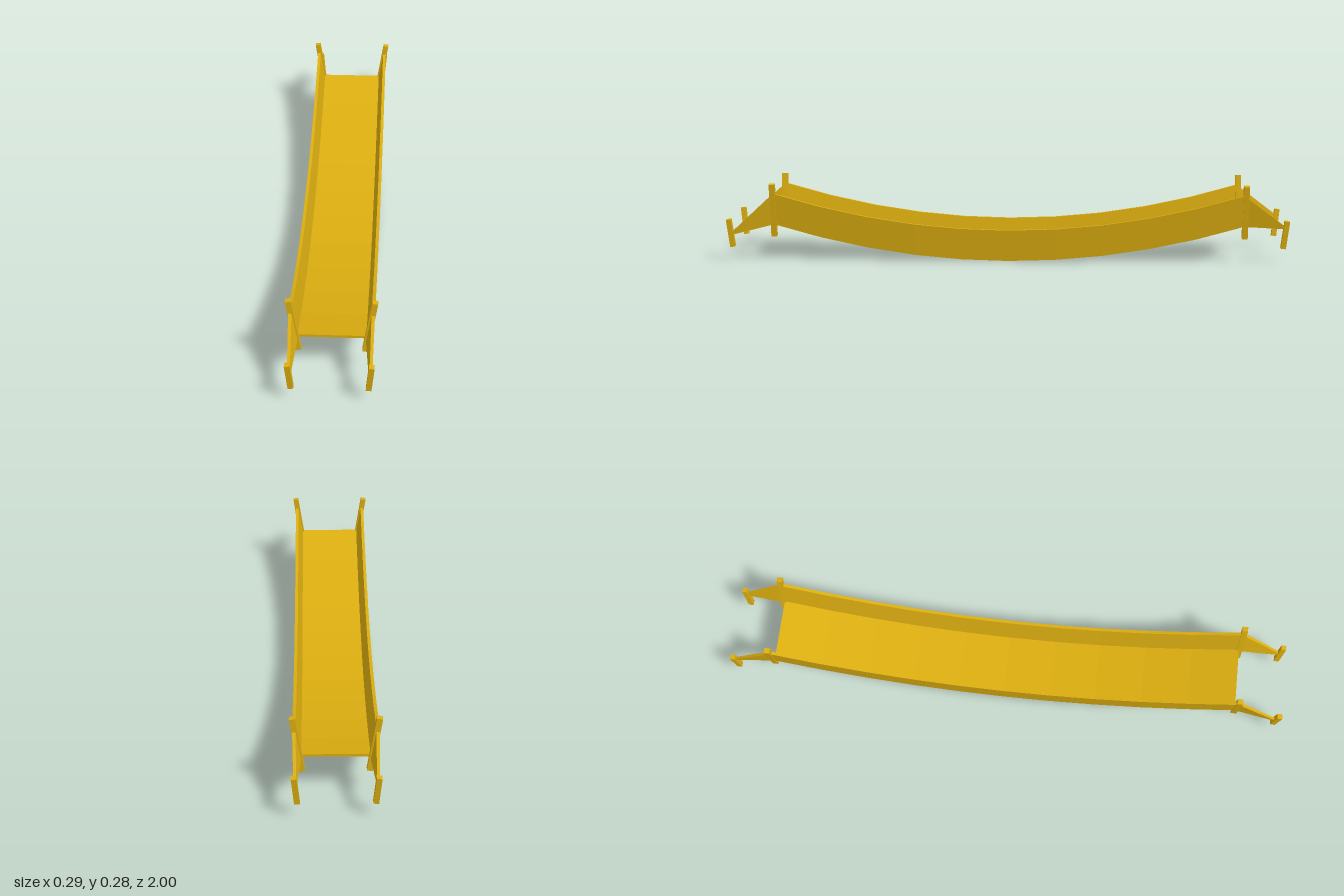
import * as THREE from 'three';

// Loft four-cornered sections [x, y], listed counter-clockwise seen from +z, from low z to high z.
function loft(sections) {
  const pos = [];
  const quad = (a, b, c, d) => [a, b, c, a, c, d].forEach(p => pos.push(...p));
  const rings = sections.map(s => s.points.map(([x, y]) => [x, y, s.z]));
  for (let i = 0; i < rings.length - 1; i++) {
    const r = rings[i], n = rings[i + 1];
    for (let k = 0; k < 4; k++) {
      const j = (k + 1) % 4;
      quad(r[k], r[j], n[j], n[k]);
    }
  }
  const [a, b, c, d] = rings[0];
  quad(d, c, b, a);
  quad(...rings[rings.length - 1]);
  const g = new THREE.BufferGeometry();
  g.setAttribute('position', new THREE.Float32BufferAttribute(pos, 3));
  g.computeVertexNormals();
  return g;
}

// Mirror a section to the other side, keeping its winding.
const sided = (points, side) =>
  side > 0 ? points : points.map(([x, y]) => [-x, y]).reverse();

export function createModel() {
  const model = new THREE.Group();
  model.name = 'hangingBridge';
  const gold = new THREE.MeshStandardMaterial({ color: 0xdcae10 });
  gold.name = 'goldenWood';
  const add = (name, geometry) => {
    const mesh = new THREE.Mesh(geometry, gold);
    mesh.name = name;
    model.add(mesh);
    return mesh;
  };

  // Sagging span, shared by the deck and walls
  const zBack = -0.84, zFront = 0.83, segments = 10;
  const span = make => {
    const list = [];
    for (let i = 0; i <= segments; i++) {
      const t = i / segments;
      const y = 0.128 * (2 * t - 1) ** 2;
      list.push({ z: zBack + (zFront - zBack) * t, points: make(y) });
    }
    return loft(list);
  };

  add('deck', span(y => [[-0.115, y + 0.001], [0.115, y + 0.001], [0.115, y + 0.01], [-0.115, y + 0.01]]));

  for (const side of [1, -1]) {
    const label = side > 0 ? 'left' : 'right';

    // Outward leaning side wall
    add(label + 'Wall', span(y => sided(
      [[0.108, y], [0.12, y], [0.137, y + 0.113], [0.126, y + 0.113]], side)));

    for (const end of [1, -1]) {
      const place = label + (end > 0 ? 'Front' : 'Back');

      // Tall post at the end of the deck
      const post = add(place + 'Post', new THREE.BoxGeometry(0.019, 0.194, 0.02));
      post.position.set(side * 0.122, 0.18, end > 0 ? 0.832 : -0.845);
      post.rotation.z = -side * 0.155;

      // Short anchor stake, leaning out and away
      const stake = add(place + 'Stake', new THREE.BoxGeometry(0.018, 0.1, 0.018));
      stake.position.set(side * 0.127, end > 0 ? 0.098 : 0.102, end * 0.985);
      stake.rotation.set(end * 0.11, 0, -side * 0.09);

      // Triangular brace tapering from post to stake
      const tipY = end > 0 ? 0.09 : 0.123;
      const wide = sided([[0.108, 0.128], [0.12, 0.128], [0.137, 0.241], [0.126, 0.241]], side);
      const tip = sided([[0.123, tipY], [0.132, tipY], [0.133, tipY + 0.008], [0.124, tipY + 0.008]], side);
      const zWide = end > 0 ? zFront : zBack;
      const ends = [{ z: zWide, points: wide }, { z: end * 0.985, points: tip }];
      add(place + 'Brace', loft(end > 0 ? ends : ends.reverse()));
    }
  }
  return model;
}
